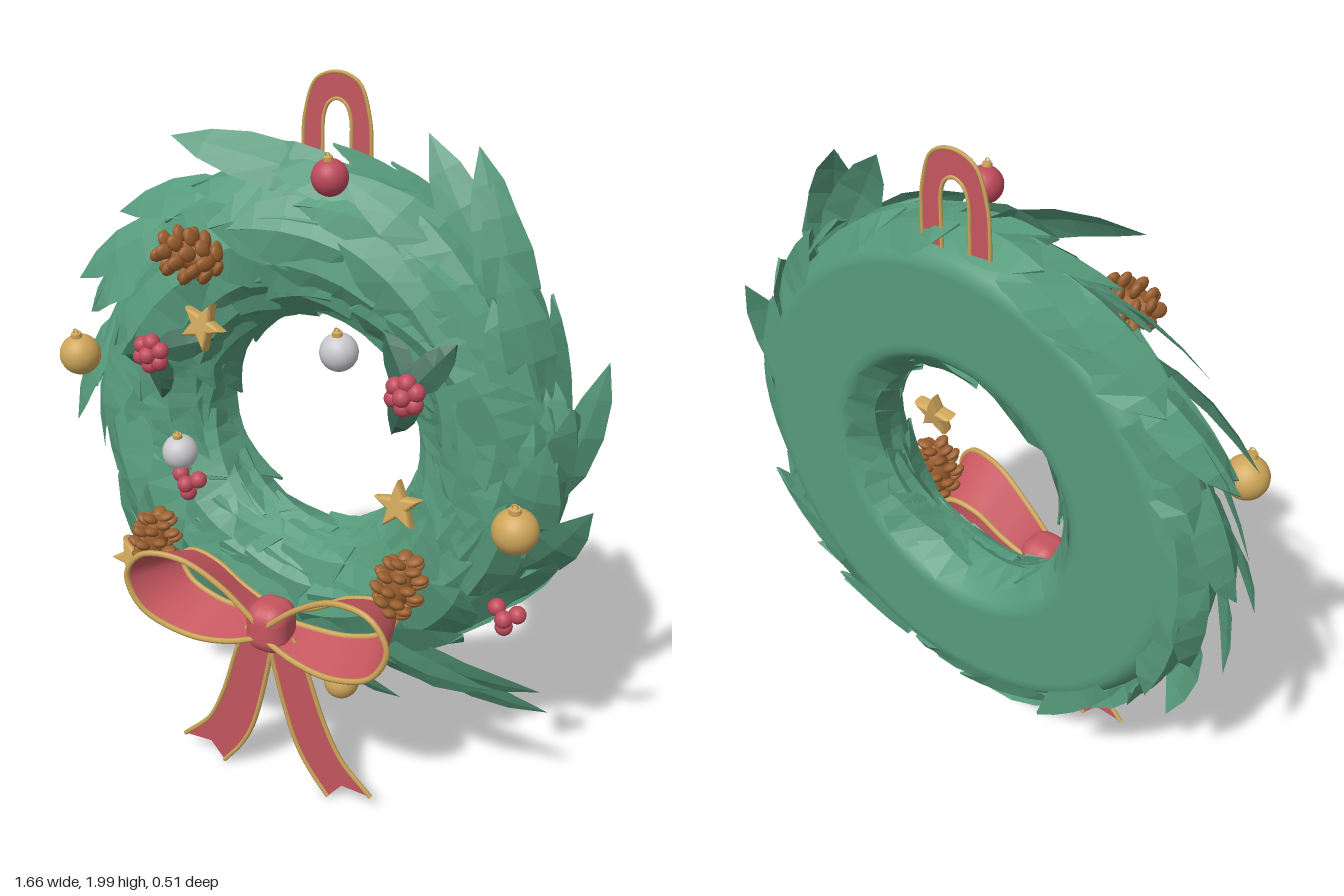
import * as THREE from 'three';
import { mergeGeometries } from 'three/addons/utils/BufferGeometryUtils.js';
import { RoundedBoxGeometry } from 'three/addons/geometries/RoundedBoxGeometry.js';

const V = (x, y, z) => new THREE.Vector3(x, y, z);
const CX = 0.0, CY = 1.065, CZ = -0.15, R = 0.51, A = 0.18, B = 0.15, BACK = -0.252;
const BOW = -0.012;

export function createModel() {
  const group = new THREE.Group();
  const mat = (name, color, side = THREE.FrontSide) => {
    const m = new THREE.MeshStandardMaterial({ color, side });
    m.name = name;
    return m;
  };
  const green = mat('leafGreen', 0x569a7b, THREE.DoubleSide);
  const holly = mat('hollyGreen', 0x3a6b58, THREE.DoubleSide);
  const red = mat('ribbonRed', 0xc6565f, THREE.DoubleSide);
  const berryRed = mat('berryRed', 0xc04a5c);
  const gold = mat('gold', 0xcfa65a);
  const silver = mat('silver', 0xc9c9cd);
  const brown = mat('coneBrown', 0x9c602f);

  let seed = 7;
  const rnd = (a = 0, b = 1) => {
    seed = (seed * 16807) % 2147483647;
    return a + (b - a) * seed / 2147483647;
  };
  const add = (name, geo, material, parent = group) => {
    const mesh = new THREE.Mesh(geo, material);
    mesh.name = name;
    parent.add(mesh);
    return mesh;
  };
  const sub = (name, x, y, z) => {
    const g = new THREE.Group();
    g.name = name;
    g.position.set(x, y, z);
    group.add(g);
    return g;
  };

  // Surface through several rails of equal point count
  const loft = (rails, flat = false) => {
    const n = rails[0].length, geo = new THREE.BufferGeometry(), idx = [];
    for (let r = 0; r < rails.length - 1; r++) for (let i = 0; i < n - 1; i++) {
      const a = r * n + i, b = a + n;
      idx.push(a, a + 1, b + 1, a, b + 1, b);
    }
    geo.setFromPoints(rails.flat());
    geo.setIndex(idx);
    const out = flat ? geo.toNonIndexed() : geo;
    out.computeVertexNormals();
    return out;
  };

  // Padded ring with a flat back
  const profile = [];
  for (let i = 0; i <= 40; i++) {
    const p = i / 40 * Math.PI * 2;
    profile.push(new THREE.Vector2(R + A * Math.cos(p), Math.max(BACK, CZ + B * Math.sin(p))));
  }
  add('ringBase', new THREE.LatheGeometry(profile, 72).rotateX(Math.PI / 2), green).position.set(CX, CY, 0);

  // Leaves: broad folded blades laid along the ring
  const onRing = (th, psi, h) => {
    const r = R + (A + h) * Math.cos(psi);
    return V(CX + r * Math.cos(th), CY + r * Math.sin(th), Math.max(BACK, CZ + (B + h) * Math.sin(psi)));
  };
  const STEPS = [0, 0.3, 0.55, 0.78, 1], WIDTHS = [0.5, 1, 0.92, 0.62, 0];
  const blade = place => loft([-1, 0, 1].map(w => STEPS.map((s, i) => place(s, w * WIDTHS[i], w === 0 ? 1 : 0))), true);
  const leaves = [];
  for (let j = 0; j < 9; j++) for (let i = 0; i < 15; i++) {
    const psi = -0.45 + j * 0.47 + rnd(-0.15, 0.15);
    const th = (i + (j % 2) * 0.5 + rnd(-0.3, 0.3)) / 15 * Math.PI * 2;
    const outer = Math.max(0, Math.cos(psi) + 0.3);
    const len = rnd(0.25, 0.34) * (outer ? 1 : 0.8), wide = rnd(0.085, 0.115);
    const lift = rnd(0.0, 0.03) + outer * rnd(0, 0.05), drift = rnd(-0.3, 0.3);
    const dTh = len / (R + A * Math.cos(psi));
    leaves.push(blade((s, w, ridge) => onRing(th + dTh * s, psi + drift * s + w * wide / 0.18,
      lift * s + 0.004 + 0.02 * ridge * (1 - s * 0.6))));
  }
  // Free blades that break the outline, given by their tips
  const tips = [[0.73, 0.37, -0.08], [0.6, 0.46, 0.02], [0.72, 0.47, -0.02], [0.56, 0.35, -0.14], [0.83, 1.06, 0.03],
    [0.77, 1.36, -0.2], [0.69, 1.2, 0], [0.64, 1.35, -0.12], [0.4, 1.86, -0.18], [0.27, 1.88, -0.17], [0.52, 1.64, -0.05],
    [0.47, 1.8, -0.1], [-0.4, 1.83, -0.03], [-0.23, 1.8, -0.12], [0.1, 1.78, -0.04], [-0.63, 1.58, -0.1],
    [-0.83, 1.22, -0.2], [-0.77, 1.37, -0.08], [-0.79, 0.93, -0.05], [-0.78, 0.8, -0.16], [-0.6, 0.48, -0.1],
    [-0.33, 0.28, -0.05], [-0.02, 0.24, -0.14], [-0.15, 0.27, 0], [0.33, 0.34, 0.01]];
  for (const [x, y, z] of tips) {
    const th = Math.atan2(y - CY, x - CX) - rnd(0.42, 0.55), tilt = rnd(0.3, 0.9);
    const base = onRing(th, rnd(0.1, 0.6), -0.02), tip = V(x, y, z);
    const along = tip.clone().sub(base).normalize();
    const across = V(-along.y, along.x, 0).normalize().multiplyScalar(Math.cos(tilt)).add(V(0, 0, Math.sin(tilt)));
    const up = along.clone().cross(across).normalize();
    leaves.push(blade((s, w, ridge) => {
      const p = base.clone().lerp(tip, s).addScaledVector(across, w * 0.07)
        .addScaledVector(up, ridge * 0.02 * (1 - s) + 0.03 * Math.sin(Math.PI * s));
      p.z = Math.max(BACK, p.z);
      return p;
    }));
  }
  add('leaves', mergeGeometries(leaves), green);

  // Ribbon helpers
  const rail = (pts, n = 40) => new THREE.CatmullRomCurve3(pts).getPoints(n);
  const trim = (name, pts, r = 0.0085) =>
    add(name, new THREE.TubeGeometry(new THREE.CatmullRomCurve3(pts), 48, r, 6), gold);

  // Hanging loop
  const arch = (w, mid, top) => [[-1, 1.74], [-1, 1.81], [-0.95, 1.88], [-0.62, mid], [0, top],
    [0.62, mid], [0.95, 1.88], [1, 1.81], [1, 1.74]].map(([x, y]) => V(BOW - 0.002 + x * w, y, -0.226));
  const archOut = arch(0.1, 1.972, 1.995), archIn = arch(0.042, 1.915, 1.928);
  add('hangingLoop', loft([rail(archOut), rail(archIn)]), red);
  trim('hangingLoopTrim', archOut, 0.005);
  trim('hangingLoopTrim', archIn, 0.005);

  // Bow: two flared loops, two notched tails and a knot
  const front = [[0.01, 0.57, 0.195], [0.12, 0.665, 0.205], [0.24, 0.73, 0.225], [0.355, 0.725, 0.245], [0.405, 0.65, 0.25],
    [0.36, 0.55, 0.245], [0.23, 0.49, 0.22], [0.11, 0.495, 0.205], [0.01, 0.53, 0.195]];
  const rear = [[0.01, 0.565, 0.09], [0.12, 0.61, 0.085], [0.21, 0.66, 0.08], [0.3, 0.67, 0.07], [0.345, 0.63, 0.06],
    [0.31, 0.575, 0.07], [0.21, 0.54, 0.08], [0.11, 0.535, 0.085], [0.01, 0.54, 0.09]];
  const tailOut = [[0.07, 0.53], [0.11, 0.44], [0.165, 0.27], [0.22, 0.155], [0.312, 0.06]];
  const tailMid = [[0.03, 0.53], [0.062, 0.42], [0.12, 0.22], [0.165, 0.13], [0.22, 0.065]];
  const tailIn = [[-0.01, 0.53], [0.01, 0.41], [0.07, 0.18], [0.112, 0.095], [0.175, 0.01]];
  for (const s of [1, -1]) {
    const side = s > 0 ? 'left' : 'right';
    const pts = list => list.map(([x, y, z = 0.125 + y * 0.04]) => V(BOW + s * x, y, z));
    add(side + 'BowLoop', loft([rail(pts(front)), rail(pts(rear))]), red);
    add(side + 'BowTail', loft([tailOut, tailMid, tailIn].map(l => rail(pts(l), 16))), red);
    for (const edge of [front, rear]) trim(side + 'BowLoopTrim', pts(edge));
    for (const edge of [tailOut, tailIn]) trim(side + 'BowTailTrim', pts(edge), 0.007);
  }
  add('bowKnot', new RoundedBoxGeometry(0.125, 0.15, 0.13, 4, 0.05), red).position.set(BOW, 0.55, 0.14);

  // Baubles with cap and ring
  const baubles = [[-0.66, 1.21, 0.08, 0.058, gold], [0.655, 0.99, 0.085, 0.06, gold], [0.17, 0.375, 0.063, 0.05, gold],
    [0.16, 1.37, 0.085, 0.05, silver], [-0.335, 0.98, 0.08, 0.05, silver],
    [0.09, 1.787, 0.01, 0.047, berryRed], [-0.33, 0.48, 0.09, 0.05, berryRed]];
  for (const [x, y, z, r, m] of baubles) {
    const g = sub('bauble', x, y, z);
    add('baubleBall', new THREE.SphereGeometry(r, 24, 16), m, g);
    add('baubleCap', new THREE.CylinderGeometry(r * 0.25, r * 0.28, r * 0.25, 12), gold, g).position.y = r * 1.05;
    add('baubleRing', new THREE.TorusGeometry(r * 0.13, r * 0.035, 6, 12), gold, g).position.y = r * 1.25;
    g.rotation.x = 0.2;
  }

  // Berry clusters, two of them on dark holly leaves
  const clusters = [[-0.39, 1.275, 0.12, 7, [3.5, 4.6, 0.3]], [0.36, 1.305, 0.12, 7, [2.2, 0.9, 4.3]],
    [-0.295, 0.905, 0.1, 4, []], [0.63, 0.71, 0.035, 4, []]];
  for (const [x, y, z, n, angles] of clusters) {
    const g = sub('berryCluster', x, y, z);
    for (let i = 0; i < n; i++) {
      const a = i * Math.PI * 2 / (n - 1) + 0.4, d = i ? 0.033 : 0;
      add('berry', new THREE.SphereGeometry(0.024, 14, 10), berryRed, g)
        .position.set(Math.cos(a) * d, Math.sin(a) * d, i ? 0 : 0.018);
    }
    for (const a of angles) add('hollyLeaf', blade((s, w, ridge) =>
      V(s * 0.16, w * 0.045, 0.012 * ridge - 0.03 - s * 0.05)), holly, g).rotation.z = a;
  }

  // Pine cones: spiral of chunky rounded scales around a core
  const cones = [[-0.28, 1.555, 0.085, Math.PI / 2 - 0.1], [-0.43, 0.68, 0.085, -0.15], [0.35, 0.75, 0.09, -0.2]];
  for (const [x, y, z, turn] of cones) {
    const g = sub('pineCone', x, y, z), scales = [];
    for (let i = 0; i < 30; i++) {
      const t = i / 29, r = 0.012 + 0.044 * Math.sin(Math.PI * (0.12 + t * 0.8));
      scales.push(new THREE.SphereGeometry(1, 12, 8).scale(0.026, 0.013, 0.021)
        .rotateZ(0.45).translate(r, (t - 0.5) * 0.165, 0).rotateY(i * 2.4));
    }
    scales.push(new THREE.SphereGeometry(1, 12, 8).scale(0.036, 0.08, 0.036));
    add('coneScales', mergeGeometries(scales), brown, g);
    g.rotation.z = turn;
  }

  // Puffed stars
  const outline = new THREE.Shape(Array.from({ length: 10 }, (_, i) => {
    const a = i * Math.PI / 5 + Math.PI / 2, r = i % 2 ? 0.02 : 0.056;
    return new THREE.Vector2(Math.cos(a) * r, Math.sin(a) * r);
  }));
  const starGeo = new THREE.ExtrudeGeometry(outline,
    { depth: 0.014, bevelThickness: 0.014, bevelSize: 0.009, bevelSegments: 4 });
  for (const [x, y, z, turn] of [[-0.255, 1.36, 0.06, -0.4], [0.33, 0.97, 0.06, 0.1], [-0.525, 0.585, 0.06, 0.5]]) {
    const star = add('star', starGeo, gold);
    star.position.set(x, y, z);
    star.rotation.set(-0.2, 0, turn);
  }
  return group;
}
